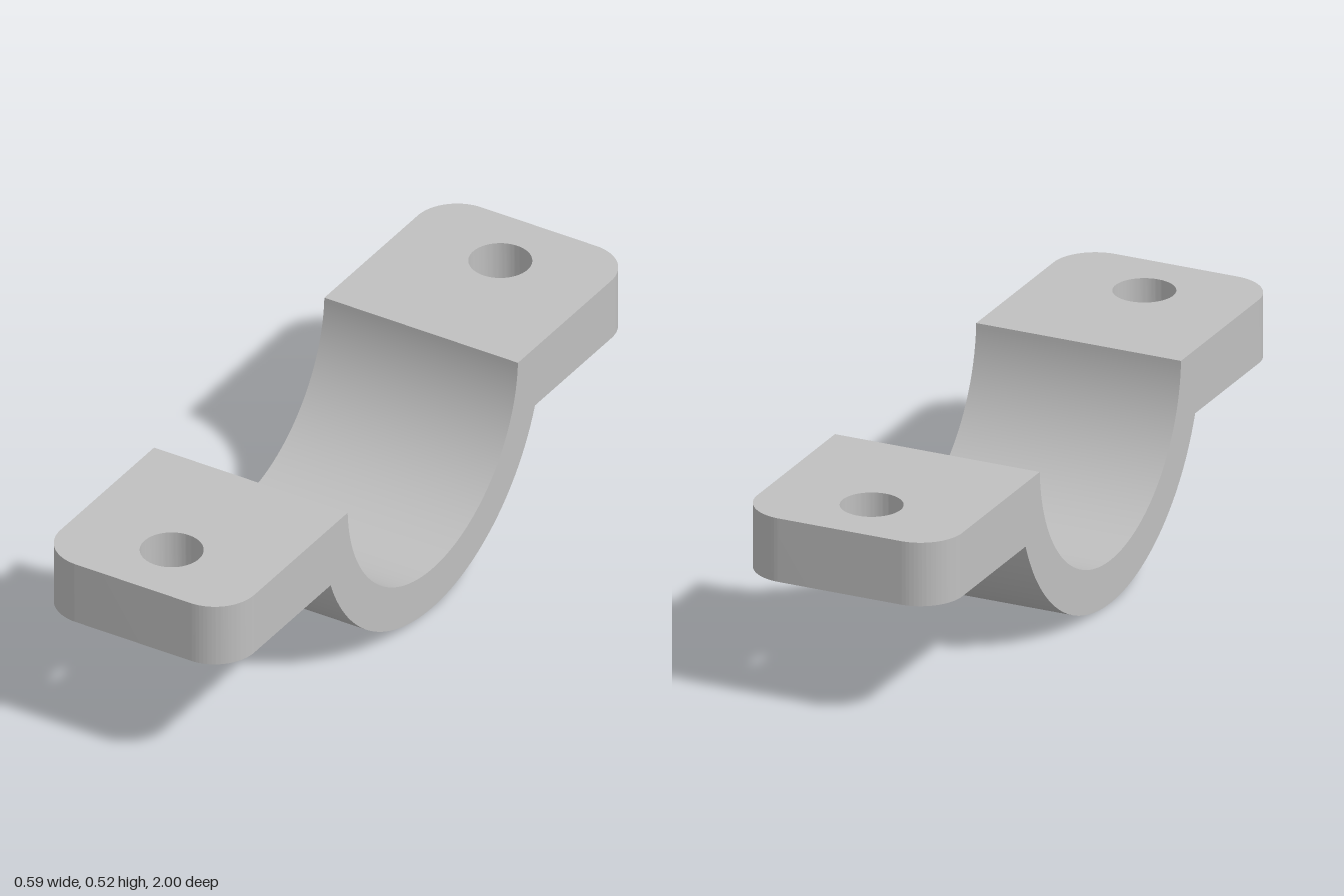
import * as THREE from 'three';
import { toCreasedNormals } from 'three/addons/utils/BufferGeometryUtils.js';

const HALF_WIDTH = 0.295, TOP = 0.523, UNDERSIDE = 0.345;
const AXIS_Y = 0.54, INNER_R = 0.42, OUTER_R = 0.54;

const outerAngle = Math.asin((AXIS_Y - UNDERSIDE) / OUTER_R);
const innerAngle = Math.asin((AXIS_Y - TOP) / INNER_R);
const seamZ = OUTER_R * Math.cos(outerAngle); // where strap meets flange

function extrude(shape, depth) {
  return new THREE.ExtrudeGeometry(shape, { depth, bevelEnabled: false, curveSegments: 48 });
}

// Half-round strap, drawn in the z-y plane and swept across the width
function saddleGeometry() {
  const s = new THREE.Shape();
  s.absarc(0, AXIS_Y, OUTER_R, Math.PI + outerAngle, 2 * Math.PI - outerAngle, false);
  s.lineTo(seamZ, TOP);
  s.absarc(0, AXIS_Y, INNER_R, 2 * Math.PI - innerAngle, Math.PI + innerAngle, true);
  s.lineTo(-seamZ, TOP);
  s.closePath();
  const g = extrude(s, 2 * HALF_WIDTH);
  g.rotateY(-Math.PI / 2).translate(HALF_WIDTH, 0, 0);
  return toCreasedNormals(g, 0.5);
}

// Flat plate with two rounded outer corners and a bolt hole
function flangeGeometry() {
  const w = HALF_WIDTH, r = 0.12;
  const s = new THREE.Shape();
  s.moveTo(-w, seamZ);
  s.lineTo(w, seamZ);
  s.absarc(w - r, 1 - r, r, 0, Math.PI / 2, false);
  s.absarc(-w + r, 1 - r, r, Math.PI / 2, Math.PI, false);
  s.closePath();
  const hole = new THREE.Path();
  hole.absarc(0, 0.81, 0.083, 0, 2 * Math.PI, true);
  s.holes.push(hole);
  const g = extrude(s, TOP - UNDERSIDE);
  g.rotateX(-Math.PI / 2).translate(0, UNDERSIDE, 0);
  return toCreasedNormals(g, 0.5);
}

export function createModel() {
  const steel = new THREE.MeshStandardMaterial({ color: 0xc0c0c0 });
  steel.name = 'steelGrey';
  const model = new THREE.Group();
  model.name = 'pipeClamp';

  const saddle = new THREE.Mesh(saddleGeometry(), steel);
  saddle.name = 'saddle';
  model.add(saddle);

  const plate = flangeGeometry();
  for (const [name, turn] of [['backFlange', 0], ['frontFlange', Math.PI]]) {
    const flange = new THREE.Mesh(plate, steel);
    flange.name = name;
    flange.rotation.y = turn;
    model.add(flange);
  }
  return model;
}
